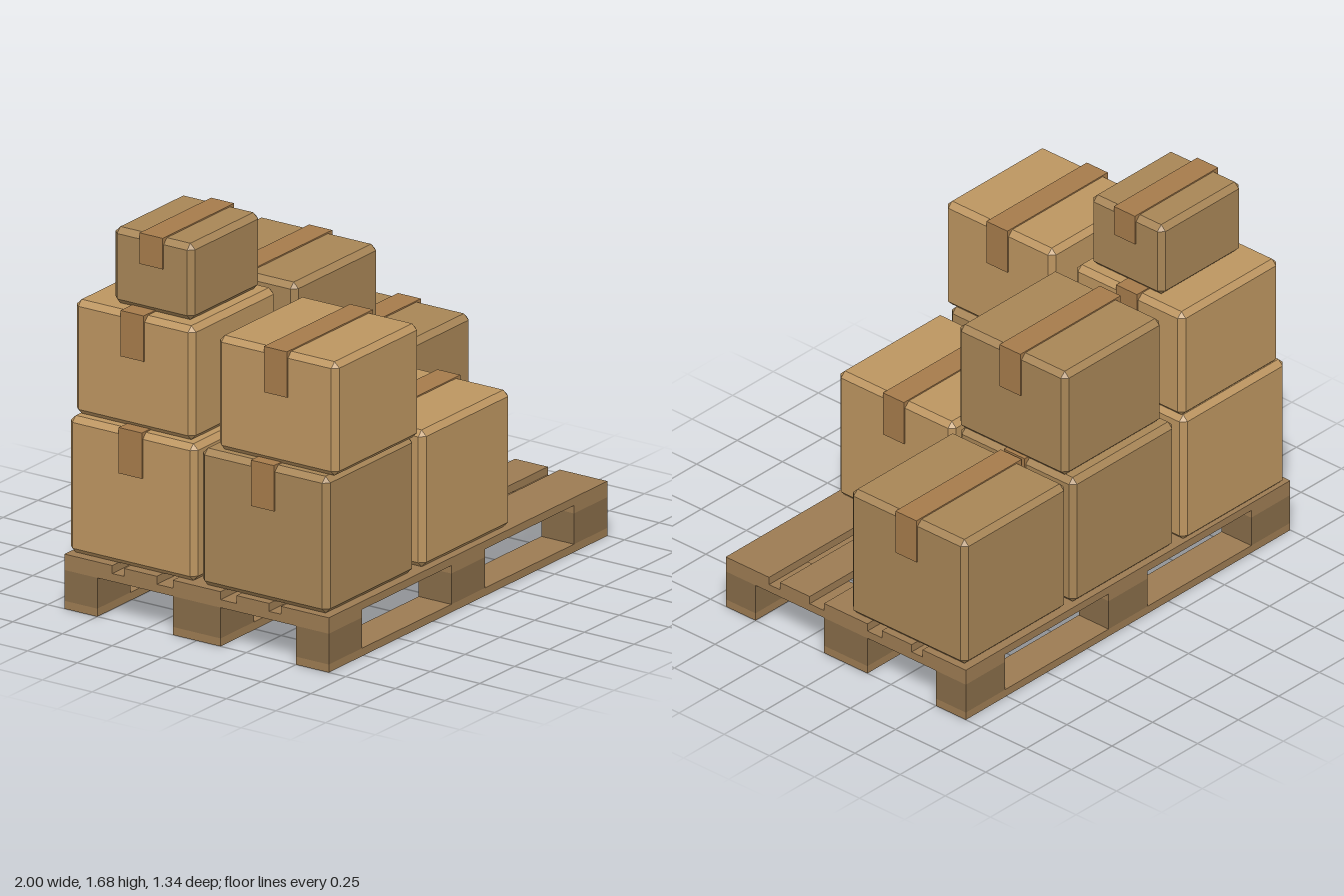
import * as THREE from 'three';
import { ConvexGeometry } from 'three/addons/geometries/ConvexGeometry.js';

const paint = (color) => new THREE.MeshStandardMaterial({ color, flatShading: true, side: THREE.DoubleSide });
const wood = paint(0x9c7b52);
const darkWood = paint(0x866b48);
const lightCard = paint(0xbc9560);
const darkCard = paint(0xa78556);
const tapeBrown = paint(0xa57b4b);

// Box mesh given by its extents on each axis
function block(name, material, [x0, x1], [y0, y1], [z0, z1], openBottom = false) {
  const geometry = new THREE.BoxGeometry(x1 - x0, y1 - y0, z1 - z0);
  if (openBottom) {
    const index = Array.from(geometry.index.array);
    index.splice(18, 6); // drop the downward face
    geometry.setIndex(index);
    geometry.clearGroups();
  }
  const mesh = new THREE.Mesh(geometry, material);
  mesh.name = name;
  mesh.position.set((x0 + x1) / 2, (y0 + y1) / 2, (z0 + z1) / 2);
  return mesh;
}

// Box with every edge cut flat
function chamferedBox(w, h, d, c) {
  const points = [];
  for (const sx of [-1, 1]) for (const sy of [-1, 1]) for (const sz of [-1, 1]) {
    for (let axis = 0; axis < 3; axis++) {
      const half = [w / 2, h / 2, d / 2].map((v, i) => (i === axis ? v : v - c));
      points.push(new THREE.Vector3(sx * half[0], sy * half[1], sz * half[2]));
    }
  }
  return new ConvexGeometry(points);
}

function createPallet() {
  const pallet = new THREE.Group();
  pallet.name = 'pallet';
  const columns = [[-1, -0.76], [-0.12, 0.12], [0.76, 1]];
  const rows = [[-0.665, -0.5], [-0.12, 0.12], [0.5, 0.665]];
  const deck = [[-0.665, -0.425], [-0.365, -0.2], [-0.12, 0.12], [0.2, 0.365], [0.425, 0.665]];

  for (const z of deck) pallet.add(block('deckBoard', wood, [-1, 1], [0.205, 0.24], z));
  for (const x of columns) pallet.add(block('crossBoard', wood, x, [0.17, 0.205], [-0.665, 0.665]));
  for (const z of rows) {
    pallet.add(block('skidBoard', wood, [-1, 1], [0, 0.035], z, true));
    for (const x of columns) pallet.add(block('spacerBlock', darkWood, x, [0.035, 0.17], z));
  }
  return pallet;
}

// Carton with a tape strip over the top and down both sides
function createCarton(name, material, [x, y, z], [w, h, d], flap = 0.195) {
  const carton = new THREE.Group();
  carton.name = name;
  carton.position.set(x, y, z);
  const body = new THREE.Mesh(chamferedBox(w, h, d, 0.024), material);
  body.name = 'cartonBody';
  body.position.y = h / 2;
  const half = w / 2 + 0.007;
  carton.add(body, block('tape', tapeBrown, [-half, half], [h - flap, h + 0.006], [-0.058, 0.058]));
  return carton;
}

export function createModel() {
  const model = new THREE.Group();
  model.name = 'loadedPallet';
  const large = [0.635, 0.6, 0.64];
  const medium = [0.605, 0.5, 0.6];
  model.add(
    createPallet(),
    // Lower layer
    createCarton('lowerFrontRightCarton', darkCard, [-0.667, 0.24, 0.325], large),
    createCarton('lowerFrontMiddleCarton', lightCard, [0.015, 0.24, 0.33], large),
    createCarton('lowerBackLeftCarton', darkCard, [0.67, 0.24, -0.328], large),
    createCarton('lowerBackMiddleCarton', darkCard, [0.01, 0.24, -0.335], large),
    createCarton('lowerBackRightCarton', lightCard, [-0.66, 0.24, -0.345], large),
    // Upper layer
    createCarton('upperFrontRightCarton', lightCard, [-0.653, 0.84, 0.37], medium),
    createCarton('upperBackMiddleCarton', darkCard, [0.03, 0.84, -0.315], medium),
    createCarton('upperBackRightCarton', lightCard, [-0.64, 0.84, -0.36], medium),
    // Small carton on top
    createCarton('topCarton', darkCard, [-0.635, 1.34, -0.305], [0.5, 0.335, 0.4], 0.13),
  );
  return model;
}
